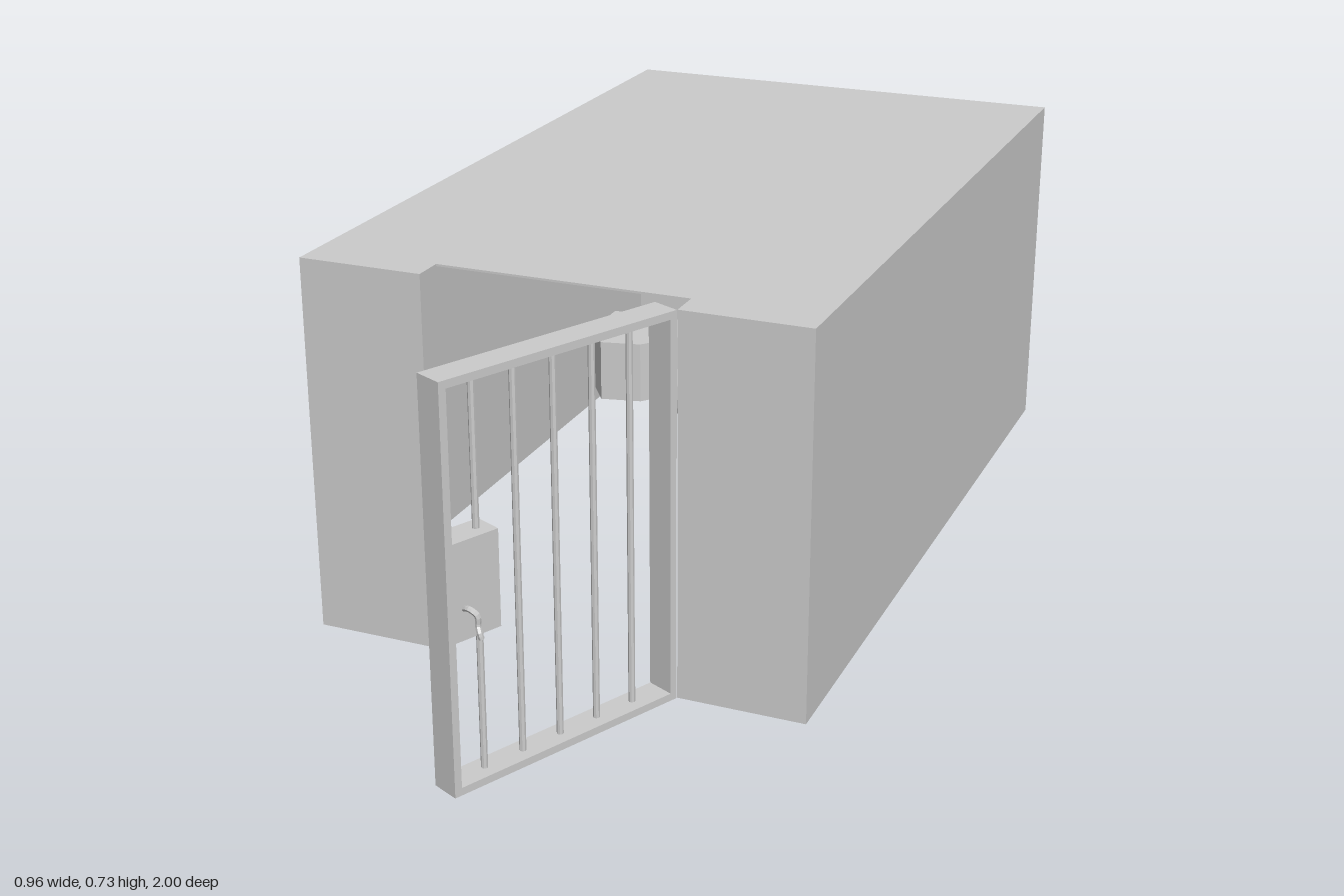
import * as THREE from 'three';

const grey = new THREE.MeshStandardMaterial({ color: 0xcccccc, flatShading: true, side: THREE.DoubleSide });

function add(parent, name, geometry, x = 0, y = 0, z = 0) {
  const mesh = new THREE.Mesh(geometry, grey);
  mesh.name = name;
  mesh.position.set(x, y, z);
  parent.add(mesh);
  return mesh;
}

// Box given by its lower and upper limits on each axis
function block(parent, name, x0, x1, y0, y1, z0, z1) {
  return add(parent, name, new THREE.BoxGeometry(x1 - x0, y1 - y0, z1 - z0),
    (x0 + x1) / 2, (y0 + y1) / 2, (z0 + z1) / 2);
}

const H = 0.725;

// Open-bottomed room with a full-height doorway
function createRoom() {
  const room = new THREE.Group();
  room.name = 'room';
  const t = 0.004, w = 0.48, door = 0.24, front = 0.56, inner = 0.5;
  const plan = new THREE.Shape([
    [-w, 1], [w, 1], [w, -front], [door, -front], [door, -inner],
    [-door, -inner], [-door, -front], [-w, -front],
  ].map(([x, y]) => new THREE.Vector2(x, y)));
  const roof = new THREE.ExtrudeGeometry(plan, { depth: t, bevelEnabled: false });
  roof.rotateX(-Math.PI / 2);
  add(room, 'roof', roof, 0, H - t, 0);
  block(room, 'backWall', -w, w, 0, H - t, -1, -0.945);
  for (const s of [-1, 1]) {
    const side = s < 0 ? 'right' : 'left';
    add(room, side + 'Wall', new THREE.BoxGeometry(t, H - t, inner + 0.945), s * (w - t / 2), (H - t) / 2, (inner - 0.945) / 2);
    add(room, side + 'FrontWall', new THREE.BoxGeometry(w - door, H - t, front - inner), s * (w + door) / 2, (H - t) / 2, (front + inner) / 2);
  }
  return room;
}

// Barred door, built along local x from its hinge and swung open
function createDoor() {
  const door = new THREE.Group();
  door.name = 'barredDoor';
  const L = 0.485, d = 0.027, f = 0.014;
  block(door, 'hingePost', 0, f, 0, H, -d, d);
  block(door, 'outerPost', L - f, L, 0, H, -d, d);
  block(door, 'bottomRail', f, L - f, 0, f, -d, d);
  block(door, 'topRail', f, L - f, H - f, H, -d, d);
  for (let i = 1; i <= 5; i++) {
    add(door, 'bar', new THREE.CylinderGeometry(0.006, 0.006, H - 2 * f, 8), i * L / 6, H / 2, 0);
  }
  block(door, 'lockBox', L - 0.105, L - f, 0.277, 0.45, -d + 0.001, d - 0.001);
  // Curved lever on the outside of the lock
  const path = new THREE.CatmullRomCurve3([
    [0.452, 0.333, -0.024], [0.452, 0.337, -0.04], [0.446, 0.328, -0.052],
    [0.445, 0.31, -0.052], [0.447, 0.3, -0.058], [0.445, 0.29, -0.06],
  ].map((p) => new THREE.Vector3(...p)));
  add(door, 'handle', new THREE.TubeGeometry(path, 14, 0.005, 6));
  door.position.set(0.215, 0, 0.55);
  door.rotation.y = -2.012;
  return door;
}

// Two-tier bunk
function createBunk() {
  const bunk = new THREE.Group();
  bunk.name = 'bunkBed';
  const x0 = 0.118, x1 = 0.397, z0 = -0.8, z1 = -0.315, p = 0.012;
  for (const x of [x0, x1 - p]) {
    for (const z of [z0, z1 - p]) block(bunk, 'post', x, x + p, 0, 0.571, z, z + p);
  }
  block(bunk, 'lowerBunk', x0 + 0.002, x1 - 0.002, 0.124, 0.15, z0 + 0.002, z1 - 0.002);
  block(bunk, 'upperBunk', x0 + 0.002, x1 - 0.002, 0.362, 0.382, z0 + 0.002, z1 - 0.002);
  for (const z of [z0, z1 - p]) {
    for (const y of [0.24, 0.47, 0.561]) block(bunk, 'endRail', x0 + p, x1 - p, y, y + 0.01, z, z + p);
  }
  return bunk;
}

// Wall-hung toilet: chamfered base with a faceted bowl
function createToilet() {
  const toilet = new THREE.Group();
  toilet.name = 'toilet';
  const outline = new THREE.Shape([
    [-0.476, 0.79], [-0.286, 0.79], [-0.264, 0.68], [-0.33, 0.6], [-0.42, 0.58], [-0.476, 0.66],
  ].map(([x, y]) => new THREE.Vector2(x, y)));
  const base = new THREE.ExtrudeGeometry(outline, { depth: 0.14, bevelEnabled: false });
  base.rotateX(-Math.PI / 2);
  add(toilet, 'base', base, 0, 0.045, 0);
  const profile = [[0, 0.03], [0.035, 0.03], [0.054, 0.05], [0.065, 0.075], [0.065, 0.108], [0.05, 0.108], [0.035, 0.06], [0, 0.05]]
    .map(([r, y]) => new THREE.Vector2(r, y));
  add(toilet, 'bowl', new THREE.LatheGeometry(profile, 8), -0.24, 0, -0.63);
  return toilet;
}

export function createModel() {
  const model = new THREE.Group();
  model.name = 'prisonCell';
  model.add(createRoom(), createDoor(), createBunk(), createToilet());
  return model;
}
